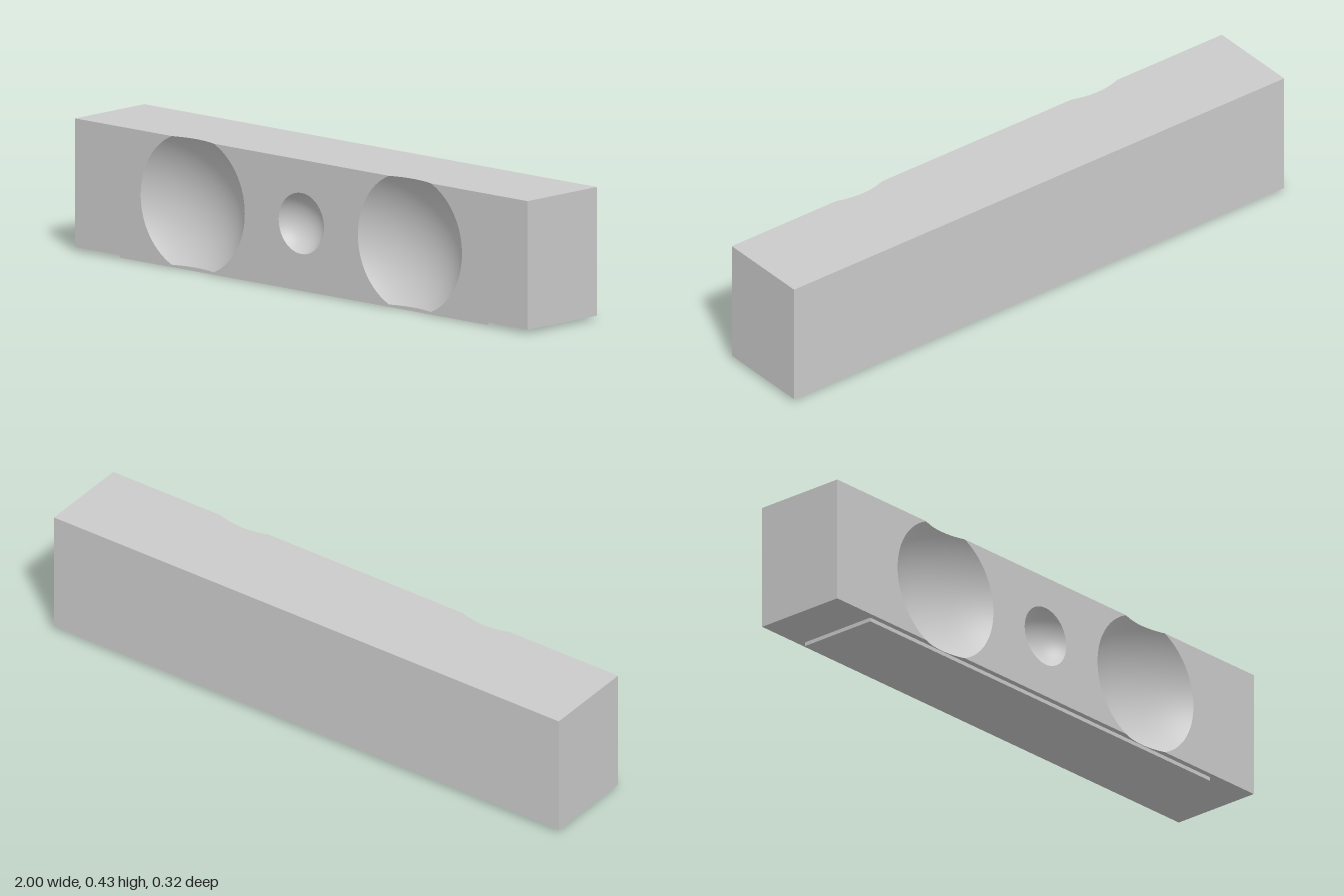
import * as THREE from 'three';

const material = new THREE.MeshStandardMaterial({ color: 0xcccccc });
const Y0 = 0.013, Y1 = 0.434, H = (Y1 - Y0) / 2, YC = (Y0 + Y1) / 2, Z = 0.162;
// Large dishes: rim radius, sphere radius, distance from the centre line
const RIM = 0.23, BALL = 0.34, DX = 0.48;
const ROWS = 40, COLS = 40;

const halfWidth = (y) => Math.sqrt(RIM * RIM - y * y);
const sphereCentre = (rim, ball) => Math.sqrt(ball * ball - rim * rim);
const dishZ = (x, y, rim, ball) => sphereCentre(rim, ball) - Math.sqrt(ball * ball - x * x - y * y);

function add(group, name, geometry, x = 0, y = 0, z = 0) {
  const mesh = new THREE.Mesh(geometry, material);
  mesh.name = name;
  mesh.position.set(x, y, z);
  group.add(mesh);
}

// Presses a flat geometry into a spherical hollow with smooth normals
function hollow(geometry, rim, ball) {
  const p = geometry.attributes.position, n = geometry.attributes.normal;
  const c = sphereCentre(rim, ball);
  for (let i = 0; i < p.count; i++) {
    const x = p.getX(i), y = p.getY(i), z = dishZ(x, y, rim, ball);
    p.setZ(i, z);
    n.setXYZ(i, -x / ball, -y / ball, (c - z) / ball);
  }
  return geometry;
}

// Large hollow, cut off flat at the top and bottom of the block
function largeDish() {
  const geometry = new THREE.PlaneGeometry(2, 2 * H, COLS, ROWS);
  const p = geometry.attributes.position;
  for (let i = 0; i < p.count; i++) p.setX(i, p.getX(i) * halfWidth(p.getY(i)));
  return hollow(geometry, RIM, BALL);
}

// Side of a dish rim, bottom to top; side is -1 or 1
function rimSide(cx, side) {
  return Array.from({ length: ROWS + 1 }, (_, i) => {
    const y = -H + (2 * H * i) / ROWS;
    return new THREE.Vector2(cx + side * halfWidth(y), y);
  });
}

// Top or bottom face, with shallow scoops where the dishes break through
function capShape(sign) {
  const points = [new THREE.Vector2(-1, -sign * Z), new THREE.Vector2(-1, sign * Z)];
  for (const cx of [-DX, DX]) {
    const w = halfWidth(H);
    for (let i = 0; i <= COLS; i++) {
      const x = -w + (2 * w * i) / COLS;
      points.push(new THREE.Vector2(cx + x, sign * (Z + dishZ(x, H, RIM, BALL))));
    }
  }
  points.push(new THREE.Vector2(1, sign * Z), new THREE.Vector2(1, -sign * Z));
  return new THREE.Shape(points);
}

export function createModel() {
  const model = new THREE.Group();
  model.name = 'block';

  // Front face: two outer pieces and a middle piece with a round hole
  for (const s of [-1, 1]) {
    const outer = new THREE.Shape([
      new THREE.Vector2(s, -H), ...rimSide(s * DX, s), new THREE.Vector2(s, H),
    ]);
    add(model, s > 0 ? 'frontLeft' : 'frontRight', new THREE.ShapeGeometry(outer), 0, YC, Z);
    add(model, s > 0 ? 'leftDish' : 'rightDish', largeDish(), s * DX, YC, Z);
    // End faces
    add(model, s > 0 ? 'leftEnd' : 'rightEnd',
      new THREE.PlaneGeometry(2 * Z, 2 * H).rotateY((s * Math.PI) / 2), s, YC, 0);
  }
  const middle = new THREE.Shape([...rimSide(-DX, 1), ...rimSide(DX, -1).reverse()]);
  const hole = new THREE.Path();
  hole.absarc(0, 0.002, 0.1, 0, Math.PI * 2, true);
  middle.holes.push(hole);
  add(model, 'frontMiddle', new THREE.ShapeGeometry(middle, 24), 0, YC, Z);

  // Small central hollow
  add(model, 'smallDish', hollow(new THREE.RingGeometry(0.0001, 0.1, 48, 16), 0.1, 0.115), 0, YC + 0.002, Z);

  // Top, bottom and back faces
  add(model, 'top', new THREE.ShapeGeometry(capShape(-1)).rotateX(-Math.PI / 2), 0, Y1, 0);
  add(model, 'bottom', new THREE.ShapeGeometry(capShape(1)).rotateX(Math.PI / 2), 0, Y0, 0);
  add(model, 'back', new THREE.PlaneGeometry(2, 2 * H).rotateY(Math.PI), 0, YC, -Z);

  // Thin foot plate under the block
  add(model, 'footPlate', new THREE.BoxGeometry(1.63, Y0, 0.281), -0.005, Y0 / 2, 0.0025);

  return model;
}
